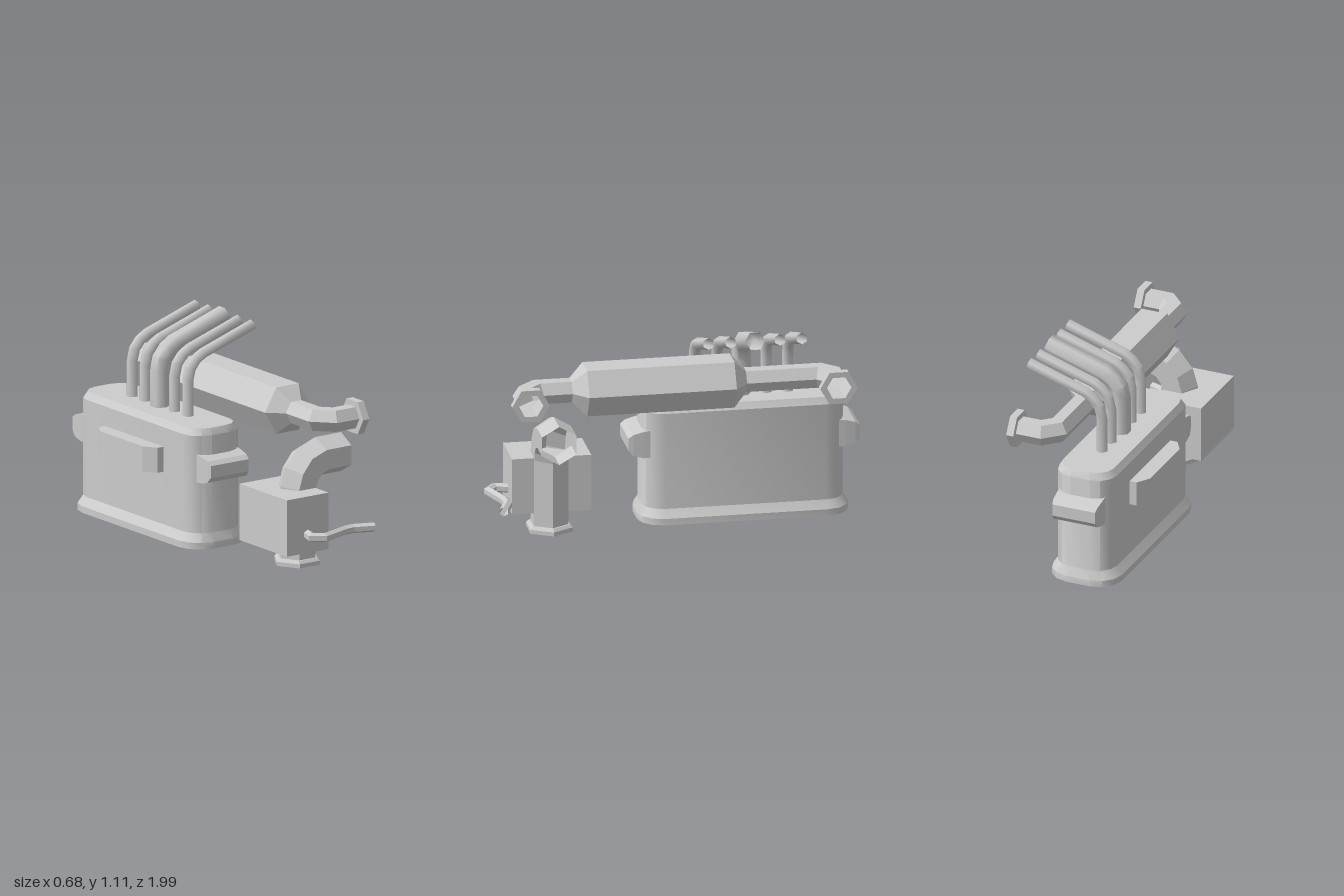
import * as THREE from 'three';
import { toCreasedNormals } from 'three/addons/utils/BufferGeometryUtils.js';

const V = (x, y, z) => new THREE.Vector3(x, y, z);
const flat = new THREE.MeshStandardMaterial({ color: 0xcccccc, flatShading: true, side: THREE.DoubleSide });
const smooth = new THREE.MeshStandardMaterial({ color: 0xcccccc, side: THREE.DoubleSide });

// Joins closed rings of points, ordered counter-clockwise about the direction of travel
function skin(rings) {
  const n = rings[0].length, idx = [];
  for (let i = 0; i < rings.length - 1; i++) {
    for (let j = 0; j < n; j++) {
      const a = i * n + j, b = i * n + (j + 1) % n;
      idx.push(a, b, a + n, b, b + n, a + n);
    }
  }
  const g = new THREE.BufferGeometry().setFromPoints(rings.flat());
  g.setIndex(idx);
  g.computeVertexNormals();
  return g;
}

// Open pipe along a planar path with mitred bends; b is normal to the bend plane
function pipe(points, radii, b, phase = 0, sides = 6) {
  const last = points.length - 1;
  const rings = points.map((p, i) => {
    const before = p.clone().sub(points[Math.max(i - 1, 0)]);
    const after = points[Math.min(i + 1, last)].clone().sub(p);
    const t1 = (i === 0 ? after : before).clone().normalize();
    const t2 = (i === last ? before : after).clone().normalize();
    const n1 = b.clone().cross(t1);
    const n = n1.clone().add(b.clone().cross(t2)).normalize();
    n.divideScalar(n.dot(n1));
    const r = Array.isArray(radii) ? radii[i] : radii;
    return Array.from({ length: sides }, (_, j) => {
      const a = phase + (j / sides) * Math.PI * 2;
      return p.clone().addScaledVector(n, r * Math.cos(a)).addScaledVector(b, r * Math.sin(a));
    });
  });
  return skin(rings);
}

// Horizontal rounded rectangle ring
function roundedRing(y, hx, hz, r, segs = 3) {
  const ring = [];
  for (let c = 0; c < 4; c++) {
    const sx = c === 0 || c === 3 ? 1 : -1, sz = c < 2 ? -1 : 1;
    for (let k = 0; k <= segs; k++) {
      const a = (c + k / segs) * Math.PI / 2;
      ring.push(V(sx * (hx - r) + r * Math.cos(a), y, sz * (hz - r) - r * Math.sin(a)));
    }
  }
  return ring;
}

// Rectangle ring facing +z
const rectRing = (z, hx, y0, y1) => [V(-hx, y0, z), V(hx, y0, z), V(hx, y1, z), V(-hx, y1, z)];

export function createModel() {
  const model = new THREE.Group();
  const add = (name, geo, mat = flat, parent = model) => {
    const m = new THREE.Mesh(geo, mat);
    m.name = name;
    parent.add(m);
    return m;
  };

  // Tank with flared skirt, bevelled top and open underside
  const tank = new THREE.Group();
  tank.name = 'tank';
  tank.position.set(-0.085, 0, -0.385);
  model.add(tank);
  const shell = [
    roundedRing(0.005, 0.195, 0.56, 0.13),
    roundedRing(0.04, 0.195, 0.56, 0.13),
    roundedRing(0.085, 0.165, 0.535, 0.11),
    roundedRing(0.61, 0.165, 0.535, 0.11),
    roundedRing(0.645, 0.143, 0.515, 0.095),
  ];
  add('tankShell', toCreasedNormals(skin(shell), 0.55), smooth, tank);
  const lid = new THREE.ShapeGeometry(new THREE.Shape(
    shell[4].map((p) => new THREE.Vector2(p.x, -p.z))));
  add('tankLid', lid.rotateX(-Math.PI / 2).translate(0, 0.645, 0), flat, tank);

  // Lugs on both ends
  for (const side of [0, 1]) {
    const lug = add('endLug', skin([
      rectRing(0.5, 0.13, 0.36, 0.51),
      rectRing(0.535, 0.13, 0.36, 0.505),
      rectRing(0.59, 0.127, 0.375, 0.49),
      rectRing(0.615, 0.122, 0.405, 0.47),
      rectRing(0.615, 0, 0.437, 0.437),
    ]), flat, tank);
    lug.rotation.y = side * Math.PI;
  }

  // Chamfered box on the tank's outer side
  const side = new THREE.Shape([[-0.24, -0.65], [-0.29, -0.65], [-0.335, -0.58],
    [-0.335, -0.2], [-0.29, -0.13], [-0.24, -0.13]].map(([x, z]) => new THREE.Vector2(x, -z)));
  add('sideBox', new THREE.ExtrudeGeometry(side, { depth: 0.135, bevelEnabled: false })
    .rotateX(-Math.PI / 2).translate(0, 0.37, 0));

  // Row of bent pipes rising from the lid
  const bend = [[-0.085, 0.62], [-0.085, 0.835], [-0.07, 0.897], [-0.035, 0.94], [0.01, 0.967], [0.33, 1.072]];
  for (const z of [-0.142, -0.26, -0.39, -0.522, -0.637]) {
    const big = z === -0.39;
    const geo = pipe(bend.map(([x, y]) => V(x, y, z)), big ? 0.052 : 0.031, V(0, 0, 1), big ? Math.PI / 6 : 0);
    add(big ? 'mainTopPipe' : 'topPipe', toCreasedNormals(geo, 1.1), smooth);
  }

  // Hexagonal cylinder tapering into elbows at both ends
  const run = [[0.33, 0.8, 0.066], [0.175, 0.8, 0.066], [0.11, 0.73, 0.066], [0.11, 0.55, 0.066],
    [0.11, 0.475, 0.145], [0.11, -0.307, 0.145], [0.11, -0.375, 0.066], [0.11, -0.77, 0.066],
    [0.175, -0.835, 0.066], [0.33, -0.835, 0.066]];
  add('hexCylinder', pipe(run.map(([x, z]) => V(x, 0.785, z)), run.map((p) => p[2]), V(0, 1, 0)));

  // Flange rings on the elbow ends
  const ring = (pts) => new THREE.LatheGeometry(pts.map(([r, y]) => new THREE.Vector2(r, y)), 6);
  for (const z of [0.8, -0.835]) {
    add('elbowFlange', ring([[0.066, 0.29], [0.1, 0.29], [0.1, 0.33], [0.066, 0.33]])
      .rotateZ(-Math.PI / 2).translate(0, 0.785, z));
  }

  // Pump box with a curved outlet pipe and foot flange
  add('pumpBox', new THREE.BoxGeometry(0.27, 0.305, 0.42).translate(-0.038, 0.263, 0.648));
  const outlet = [[0.045, 0.02], [0.045, 0.41], [0.065, 0.475], [0.11, 0.53], [0.18, 0.556], [0.33, 0.557]];
  add('outletPipe', pipe(outlet.map(([x, y]) => V(x, y, 0.65)), 0.105, V(0, 0, 1)));
  add('footFlange', ring([[0.1, 0.003], [0.13, 0.003], [0.13, 0.025], [0.115, 0.04], [0.1, 0.04]])
    .rotateY(Math.PI / 2).translate(0.045, 0, 0.65));

  // Thin hose at the front of the pump box
  const hose = [[-0.035, 0.85], [-0.06, 0.925], [-0.005, 0.965], [0.16, 0.908], [0.22, 0.903], [0.33, 0.945]];
  add('hose', pipe(hose.map(([x, z]) => V(x, 0.212, z)), 0.025, V(0, 1, 0), Math.PI / 6));

  return model;
}
